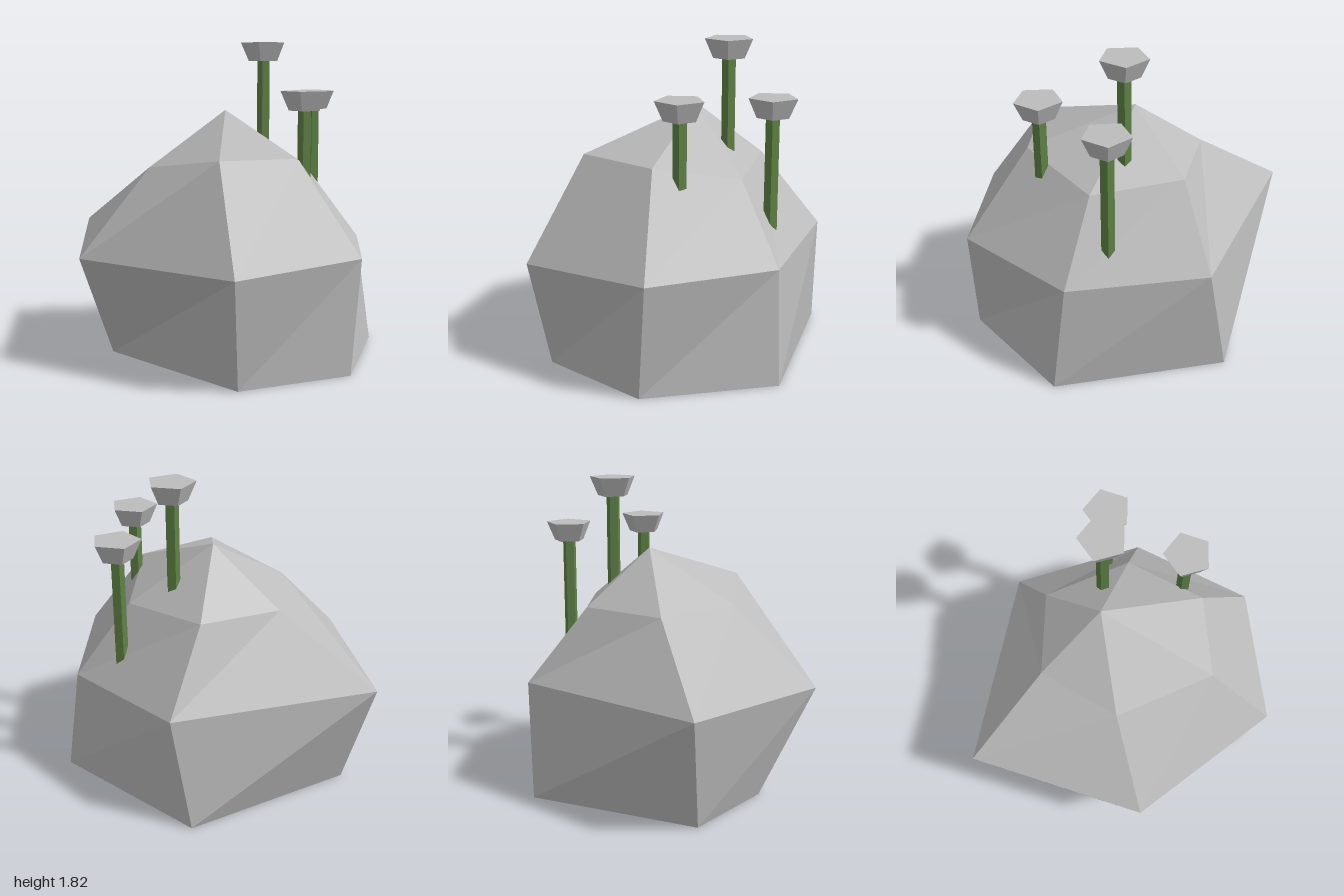
import * as THREE from 'three';

const rockGrey = new THREE.MeshStandardMaterial({ color: 0xbcbcbc, side: THREE.DoubleSide, flatShading: true });
rockGrey.name = 'rockGrey';
const stemGreen = new THREE.MeshStandardMaterial({ color: 0x5f8344, flatShading: true });
stemGreen.name = 'stemGreen';

// Rock cross-sections, from the ground up, each running counterclockwise from -x
const RINGS = [
  [[-0.79, 0, 0.06], [-0.4, 0, 0.49], [0.59, 0, 0.67], [0.965, 0, 0.11], [0.73, 0, -0.63], [-0.26, 0, -0.82]],
  [[-1, 0.68, 0], [-0.35, 0.625, 0.83], [0.64, 0.615, 0.78], [1, 0.65, 0.07], [0.64, 0.64, -0.61], [-0.14, 0.665, -0.83]],
  [[-0.42, 1.09, -0.09], [-0.21, 1.1, 0.37], [0.36, 1.18, 0.5], [0.6, 1.17, 0.08], [0.4, 1.07, -0.39], [-0.13, 1.1, -0.48]],
];
const PEAK = [0.005, 1.415, -0.1];

// Faceted hollow shell, open at the ground
function makeRock() {
  const points = [];
  const face = (...corners) => corners.forEach((c) => points.push(...c));
  for (let i = 0; i < 6; i++) {
    const j = (i + 1) % 6;
    for (let r = 0; r < 2; r++) {
      const low = RINGS[r], high = RINGS[r + 1];
      face(low[i], low[j], high[j]);
      face(low[i], high[j], high[i]);
    }
    face(RINGS[2][i], RINGS[2][j], PEAK);
  }
  const geometry = new THREE.BufferGeometry();
  geometry.setAttribute('position', new THREE.Float32BufferAttribute(points, 3));
  geometry.computeVertexNormals();
  const rock = new THREE.Mesh(geometry, rockGrey);
  rock.name = 'rock';
  return rock;
}

// Five-sided prism with a corner facing +x
function prism(name, topRadius, bottomRadius, bottom, top, material) {
  const geometry = new THREE.CylinderGeometry(topRadius, bottomRadius, top - bottom, 5, 1, false, Math.PI / 2);
  const mesh = new THREE.Mesh(geometry, material);
  mesh.position.y = (top + bottom) / 2;
  mesh.name = name;
  return mesh;
}

// Stem rising from the ground through the rock, with a flared head
function makeFlower(x, z, top) {
  const flower = new THREE.Group();
  flower.name = 'flower';
  flower.add(prism('stem', 0.04, 0.04, 0, top - 0.1, stemGreen));
  flower.add(prism('flowerHead', 0.14, 0.092, top - 0.11, top, rockGrey));
  flower.position.set(x, 0, z);
  return flower;
}

export function createModel() {
  const model = new THREE.Group();
  model.name = 'floweringRock';
  model.add(makeRock());
  model.add(makeFlower(0.155, -0.295, 1.815));
  model.add(makeFlower(0.357, -0.55, 1.525));
  model.add(makeFlower(0.565, -0.065, 1.54));
  return model;
}
